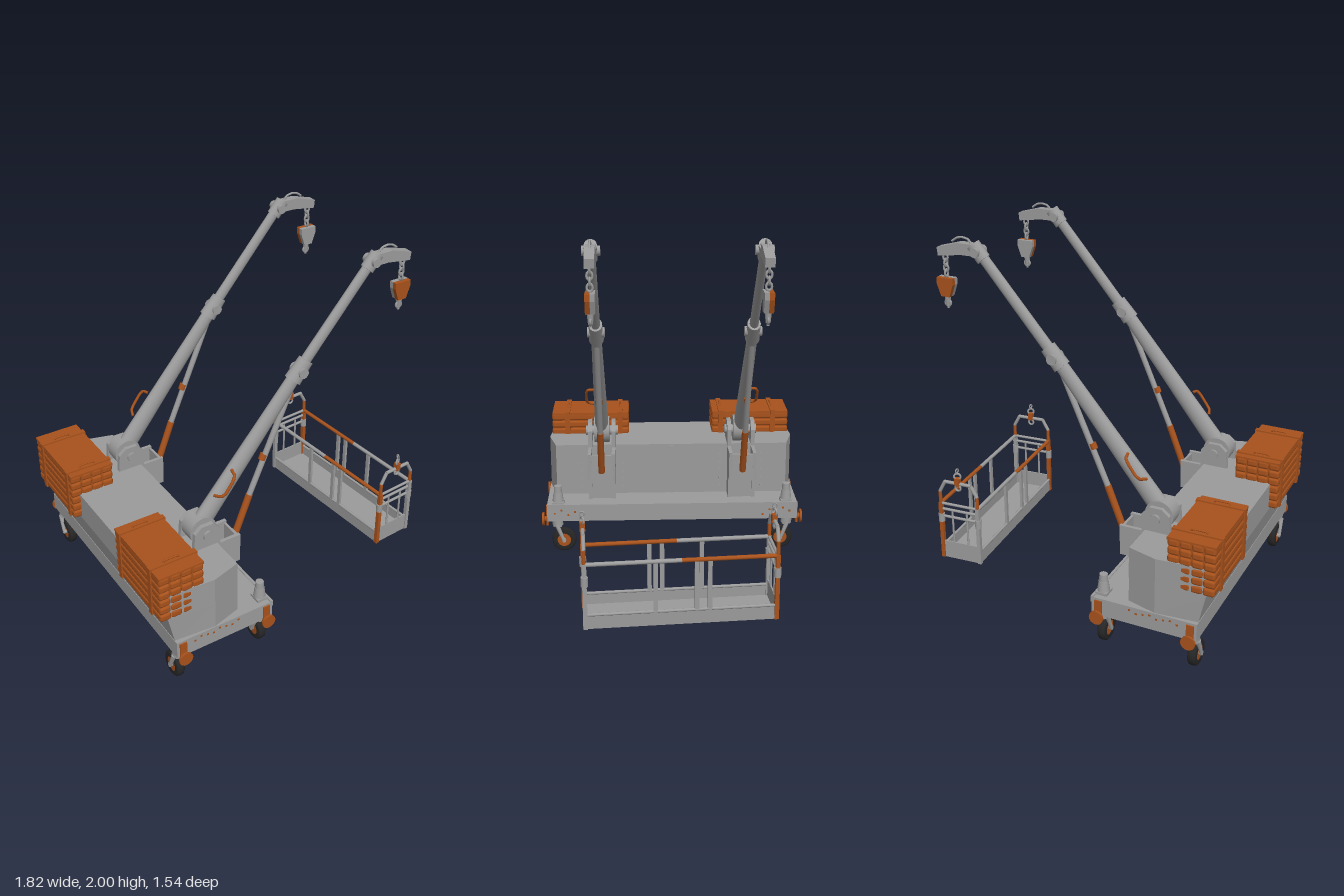
import * as THREE from 'three';
import { RoundedBoxGeometry } from 'three/addons/geometries/RoundedBoxGeometry.js';

const material = (name, color, side = THREE.FrontSide) => {
  const m = new THREE.MeshStandardMaterial({ color, side });
  m.name = name;
  return m;
};

export function createModel() {
  const grey = material('paintedGrey', 0x9b9b9b);
  const rust = material('rustOrange', 0xa8521c);
  const black = material('tyreBlack', 0x262626);
  const model = new THREE.Group();
  model.name = 'twinBoomCrane';
  const V = (x, y, z) => new THREE.Vector3(x, y, z);

  const add = (parent, name, geo, mat, x = 0, y = 0, z = 0) => {
    const mesh = new THREE.Mesh(geo, mat);
    mesh.name = name;
    mesh.position.set(x, y, z);
    parent.add(mesh);
    return mesh;
  };
  // box given by its limits; swapped limits are allowed so parts can be mirrored
  const box = (p, name, mat, x0, x1, y0, y1, z0, z1) => add(p, name,
    new THREE.BoxGeometry(Math.abs(x1 - x0), Math.abs(y1 - y0), Math.abs(z1 - z0)), mat,
    (x0 + x1) / 2, (y0 + y1) / 2, (z0 + z1) / 2);
  // round bar between two points
  const rod = (p, name, mat, a, b, r0, r1 = r0, flat = 1, sides = 14) => {
    const d = b.clone().sub(a);
    const m = add(p, name, new THREE.CylinderGeometry(r1, r0, d.length(), sides), mat);
    m.position.copy(a).add(b).multiplyScalar(0.5);
    m.quaternion.setFromUnitVectors(V(0, 1, 0), d.normalize());
    m.scale.z = flat;
    return m;
  };
  const tube = (p, name, mat, pts, r) => add(p, name,
    new THREE.TubeGeometry(new THREE.CatmullRomCurve3(pts, false, 'catmullrom', 0.2), 28, r, 8), mat);
  // side profile in x, y, given thickness in z
  const plate = (p, name, mat, pts, z0, z1) => {
    const g = new THREE.ExtrudeGeometry(new THREE.Shape(pts.map(q => new THREE.Vector2(...q))),
      { depth: Math.abs(z1 - z0), bevelEnabled: false });
    return add(p, name, g, mat, 0, 0, Math.min(z0, z1));
  };

  // hull: plan outline lofted through three heights
  const rings = [[0.29, -0.825], [0.45, -0.86], [0.61, -0.86]].map(([y, back]) =>
    [[back, 0.715], [-0.6, 0.735], [-0.44, 0.69], [-0.44, -0.69], [-0.6, -0.735], [back, -0.715]]
      .map(([x, z]) => [x, y, z]));
  const pos = [];
  const tri = (...c) => c.forEach(v => pos.push(...v));
  for (let k = 0; k < 2; k++) for (let i = 0; i < 6; i++) {
    const j = (i + 1) % 6, [a, b] = [rings[k], rings[k + 1]];
    tri(a[i], a[j], b[j]);
    tri(a[i], b[j], b[i]);
  }
  for (let i = 1; i < 5; i++) tri(rings[2][0], rings[2][i], rings[2][i + 1]);
  const hull = new THREE.BufferGeometry();
  hull.setAttribute('position', new THREE.Float32BufferAttribute(pos, 3));
  hull.computeVertexNormals();
  add(model, 'hull', hull, grey);
  box(model, 'chassis', grey, -0.83, -0.255, 0.2, 0.3, -0.74, 0.74);
  box(model, 'chassisLip', grey, -0.265, -0.25, 0.27, 0.305, -0.74, 0.74);
  box(model, 'centreSeam', grey, -0.442, -0.434, 0.3, 0.6, -0.012, 0.012);

  for (const s of [1, -1]) {
    const side = new THREE.Group();
    side.name = s > 0 ? 'frontCrane' : 'backCrane';
    model.add(side);
    const zc = 0.415 * s;
    const P = (x, y, z = zc) => V(x, y, z);

    // strapped cargo: four by six long rolls under a lid
    const cargo = new THREE.Group();
    cargo.name = 'cargo';
    side.add(cargo);
    box(cargo, 'cargoCore', rust, -0.9, -0.66, 0.47, 0.735, 0.265 * s, 0.715 * s);
    for (let i = 0; i < 4; i++) for (let j = 0; j < 6; j++)
      add(cargo, 'cargoRoll', new RoundedBoxGeometry(0.063, 0.046, 0.47, 2, 0.015), rust,
        -0.874 + i * 0.063, 0.485 + j * 0.046, 0.49 * s);
    box(cargo, 'cargoLid', rust, -0.905, -0.652, 0.728, 0.742, 0.258 * s, 0.722 * s);
    for (const z of [0.31, 0.63]) {
      box(cargo, 'strap', rust, -0.912, -0.645, 0.46, 0.75, (z - 0.015) * s, (z + 0.015) * s);
      tube(cargo, 'strapHandle', rust, [V(-0.83, 0.745, z * s), V(-0.82, 0.76, z * s), V(-0.75, 0.76, z * s), V(-0.74, 0.745, z * s)], 0.005);
    }

    // boom foot: cheek plates, pivot drum, open pocket and gussets
    for (const z of [0.345, 0.485]) {
      plate(side, 'pivotCheek', grey, [[-0.58, 0.6], [-0.42, 0.6], [-0.42, 0.7], [-0.46, 0.745], [-0.53, 0.745], [-0.57, 0.71]], (z - 0.012) * s, (z + 0.012) * s);
      plate(side, 'pocketSide', grey, [[-0.445, 0.3], [-0.35, 0.3], [-0.35, 0.43], [-0.3, 0.43], [-0.295, 0.6], [-0.445, 0.6]], (z - 0.01) * s, (z + 0.01) * s);
    }
    box(side, 'pocketFront', grey, -0.312, -0.298, 0.43, 0.59, 0.345 * s, 0.485 * s);
    box(side, 'pocketFloor', grey, -0.44, -0.3, 0.43, 0.445, 0.345 * s, 0.485 * s);
    box(side, 'pocketPost', grey, -0.44, -0.36, 0.3, 0.43, 0.35 * s, 0.48 * s);
    rod(side, 'pivotDrum', grey, P(-0.5, 0.69, 0.37 * s), P(-0.5, 0.69, 0.46 * s), 0.078, 0.078, 1, 24);
    rod(side, 'pivotPin', grey, P(-0.495, 0.685, 0.32 * s), P(-0.495, 0.685, 0.51 * s), 0.028);

    // boom with knuckle, upper section and drooping jib
    rod(side, 'lowerBoom', grey, P(-0.485, 0.715), P(0.1, 1.43), 0.056, 0.037, 0.72, 20);
    rod(side, 'upperBoom', grey, P(0.08, 1.405), P(0.53, 1.93), 0.032, 0.029, 0.75, 16);
    rod(side, 'knuckleCollar', grey, P(0.065, 1.385), P(0.145, 1.48), 0.05, 0.044, 0.8, 16);
    rod(side, 'knucklePin', grey, P(0.105, 1.43, zc - 0.046), P(0.105, 1.43, zc + 0.046), 0.028);
    rod(side, 'tipCollar', grey, P(0.5, 1.89), P(0.56, 1.96), 0.04, 0.04, 0.8, 16);
    rod(side, 'tipPin', grey, P(0.53, 1.93, zc - 0.045), P(0.53, 1.93, zc + 0.045), 0.025);
    plate(side, 'jib', grey, [[0.52, 1.905], [0.62, 1.905], [0.76, 1.885], [0.765, 1.93], [0.64, 1.965], [0.54, 1.965]], zc - 0.024, zc + 0.024);
    tube(side, 'jibCable', grey, [P(0.565, 1.96), P(0.59, 1.985), P(0.625, 1.992), P(0.655, 1.985), P(0.685, 1.965)], 0.006);

    // grab handle on the outer side of the boom
    tube(side, 'grabHandle', rust, [P(-0.42, 0.87, 0.44 * s), P(-0.405, 0.885, 0.485 * s), P(-0.385, 0.905, 0.497 * s), P(-0.345, 0.96, 0.497 * s), P(-0.325, 0.985, 0.485 * s), P(-0.315, 0.99, 0.44 * s)], 0.008);

    // supporting strut with sleeve and band
    rod(side, 'strutSleeve', rust, P(-0.3, 0.49), P(-0.19, 0.77), 0.019);
    rod(side, 'strut', grey, P(-0.19, 0.77), P(0.085, 1.4), 0.016);
    rod(side, 'strutBand', rust, P(-0.116, 0.965), P(-0.103, 0.995), 0.019);

    // chain and hook block, outer half rusty and inner half grey
    for (let i = 0; i < 4; i++) {
      const link = add(side, 'chainLink', new THREE.TorusGeometry(0.014, 0.006, 6, 12), grey, 0.73, 1.875 - i * 0.028, zc);
      link.scale.y = 1.3;
      link.rotation.y = i % 2 ? Math.PI / 2 : 0;
    }
    const block = [[0.682, 1.77], [0.682, 1.735], [0.705, 1.67], [0.755, 1.67], [0.778, 1.735], [0.778, 1.77]];
    plate(side, 'hookBlockOuter', rust, block, zc, zc + 0.024 * s);
    plate(side, 'hookBlockInner', grey, block, zc, zc - 0.024 * s);
    rod(side, 'hookShank', grey, P(0.73, 1.62), P(0.73, 1.68), 0.012, 0.018);
    add(side, 'hook', new THREE.TorusGeometry(0.016, 0.007, 8, 14), grey, 0.73, 1.632, zc);
    rod(side, 'hookTip', grey, P(0.73, 1.605), P(0.73, 1.625), 0.007);

    // tapered post on the deck corner
    box(side, 'postFoot', grey, -0.325, -0.26, 0.3, 0.315, 0.64 * s, 0.71 * s);
    rod(side, 'deckPost', grey, P(-0.292, 0.31, 0.675 * s), P(-0.292, 0.37, 0.675 * s), 0.034, 0.026);
    rod(side, 'deckPostCap', grey, P(-0.292, 0.37, 0.675 * s), P(-0.292, 0.41, 0.675 * s), 0.024, 0.022);

    // casters
    for (const x of [-0.795, -0.293]) {
      const caster = new THREE.Group();
      caster.name = 'caster';
      side.add(caster);
      const wz = 0.645 * s;
      const tyre = add(caster, 'tyre', new THREE.LatheGeometry(
        [[0.04, -0.022], [0.062, -0.023], [0.07, -0.016], [0.072, 0], [0.07, 0.016], [0.062, 0.023], [0.04, 0.022]]
          .map(q => new THREE.Vector2(...q)), 24), black, x, 0.072, wz);
      tyre.rotation.z = Math.PI / 2;
      rod(caster, 'wheelHub', rust, V(x - 0.018, 0.072, wz), V(x + 0.018, 0.072, wz), 0.043, 0.043, 1, 20);
      rod(caster, 'axle', grey, V(x - 0.036, 0.072, wz), V(x + 0.036, 0.072, wz), 0.012);
      for (const d of [-0.03, 0.03])
        rod(caster, 'forkLeg', grey, V(x + d, 0.065, wz), V(x + d * 0.8, 0.17, 0.685 * s), 0.009, 0.014);
      rod(caster, 'forkCrown', grey, V(x, 0.16, 0.68 * s), V(x, 0.2, 0.685 * s), 0.032);
      box(caster, 'lockBracket', rust, x - 0.02, x + 0.02, 0.165, 0.288, 0.735 * s, 0.747 * s);
      rod(caster, 'lockStem', rust, V(x, 0.2, 0.735 * s), V(x, 0.2, 0.766 * s), 0.016);
      rod(caster, 'lockKnob', rust, V(x, 0.2, 0.76 * s), V(x, 0.2, 0.772 * s), 0.039, 0.039, 1, 16);
    }

    // rust flecks on the chassis faces
    for (let i = 0; i < 8; i++) {
      box(side, 'rustFleck', rust, -0.73 + i * 0.037, -0.719 + i * 0.037, 0.262 + (i * 5 % 3) * 0.007, 0.272 + (i * 5 % 3) * 0.007, 0.738 * s, 0.742 * s);
      if (i < 5) box(side, 'rustFleck', rust, -0.252, -0.248, 0.225 + (i * 3 % 5) * 0.01, 0.235 + (i * 3 % 5) * 0.01, (0.53 + i * 0.04) * s, (0.54 + i * 0.04) * s);
    }
    // rivets beside the boom foot
    for (let i = 0; i < 5; i++) for (const z of [0.29, 0.54])
      box(side, 'rivet', grey, -0.442, -0.434, 0.34 + i * 0.05, 0.348 + i * 0.05, (z - 0.004) * s, (z + 0.004) * s);
  }

  // work basket, turned slightly
  const basket = new THREE.Group();
  basket.name = 'basket';
  basket.position.x = 0.738;
  basket.rotation.y = 0.077;
  model.add(basket);
  const w = 0.115, L = 0.478;
  box(basket, 'basketFloor', grey, -w, w, 0.12, 0.135, -L, L);
  for (const s of [1, -1]) {
    // long sides
    box(basket, 'kickPanel', grey, (w - 0.004) * s, (w + 0.004) * s, 0.12, 0.195, -L, L);
    rod(basket, 'topRailRusty', rust, V(w * s, 0.465, 0), V(w * s, 0.465, -L * s), 0.011);
    rod(basket, 'topRailGrey', grey, V(w * s, 0.465, 0), V(w * s, 0.465, L * s), 0.011);
    rod(basket, 'lowRail', grey, V(w * s, 0.195, -L), V(w * s, 0.195, L), 0.008);
    for (const z of [-0.14, -0.075, 0.13])
      box(basket, 'sidePost', grey, (w - 0.007) * s, (w + 0.007) * s, 0.19, 0.465, z * s - 0.011, z * s + 0.011);
    // end frames
    const z = L * s;
    box(basket, 'endPanel', grey, -w, w, 0.12, 0.225, z - 0.004, z + 0.004);
    for (const e of [1, -1]) {
      box(basket, 'cornerPost', e === -s ? rust : grey, (w - 0.011) * e, (w + 0.011) * e, 0.12, 0.47, z - 0.011, z + 0.011);
      rod(basket, 'upperPost', rust, V(w * e, 0.46, z), V(w * e, 0.54, z), 0.01);
      rod(basket, 'postSleeve', grey, V(w * e, 0.35, z), V(w * e, 0.4, z), 0.018);
      rod(basket, 'archSlope', grey, V(w * e, 0.54, z), V(0.08 * e, 0.605, z), 0.01);
      rod(basket, 'endBar', grey, V(0.045 * e, 0.22, z), V(0.045 * e, 0.43, z), 0.006);
    }
    rod(basket, 'archTop', grey, V(-0.082, 0.605, z), V(0.082, 0.605, z), 0.01);
    for (const y of [0.385, 0.43, 0.465]) rod(basket, 'endRail', grey, V(-w, y, z), V(w, y, z), 0.008);
    // lifting shackle
    box(basket, 'shackleBlock', rust, -0.014, 0.014, 0.595, 0.64, z - 0.014, z + 0.014);
    add(basket, 'shackleLower', new THREE.TorusGeometry(0.016, 0.006, 8, 14), grey, 0, 0.578, z);
    const ring = add(basket, 'shackleRing', new THREE.TorusGeometry(0.018, 0.006, 8, 14), grey, 0, 0.65, z);
    ring.rotation.y = 0.4;
    add(basket, 'topLink', new THREE.TorusGeometry(0.011, 0.004, 8, 12), grey, 0, 0.685, z).rotation.y = 1.3;
  }
  return model;
}
